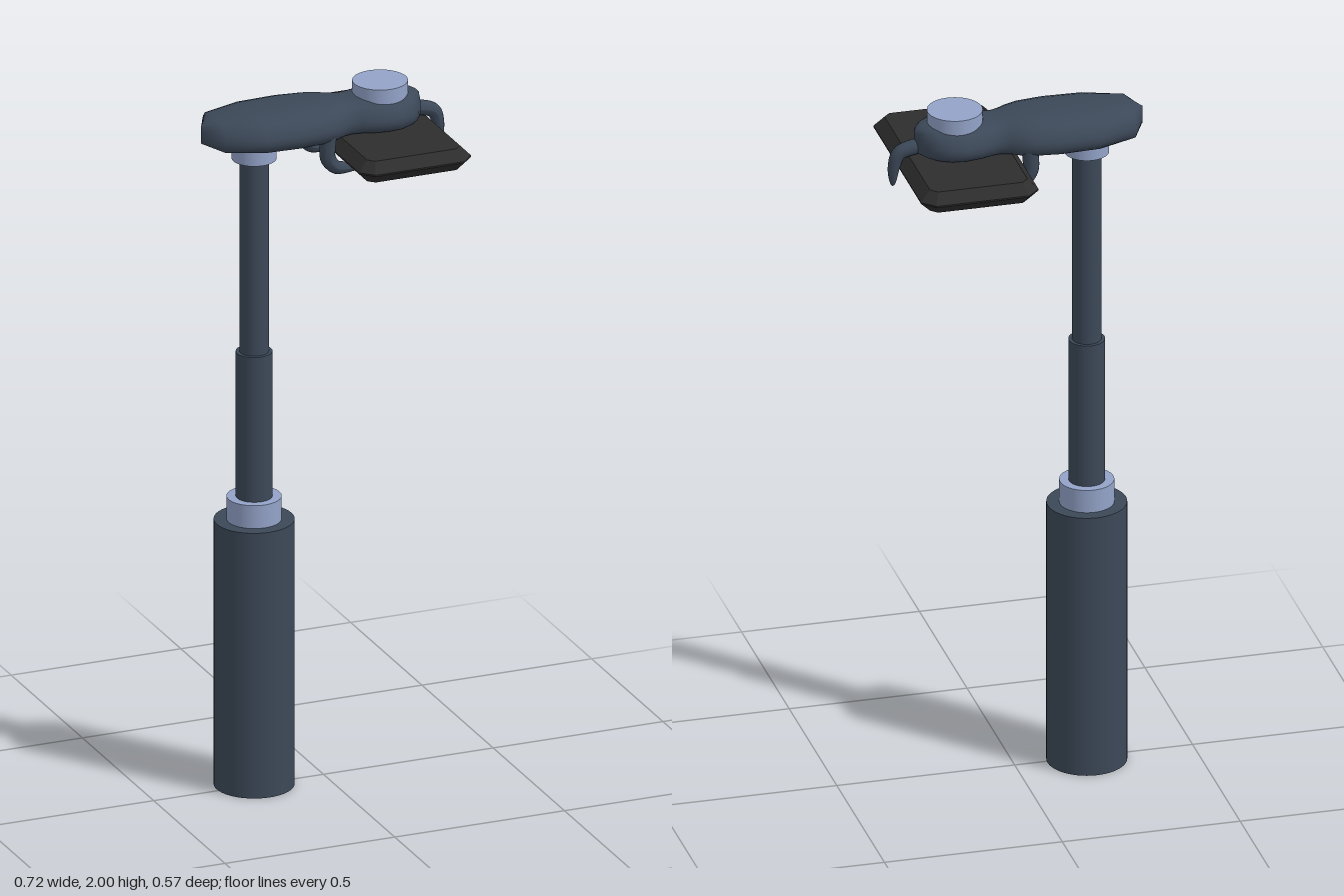
import * as THREE from 'three';

const CZ = -0.01; // depth of the centre line
const mat = (color) => new THREE.MeshStandardMaterial({ color });
const body = mat(0x3c4858);
const accent = mat(0x93a3c8);
const dark = mat(0x2d2d2d);
dark.flatShading = true;

function add(group, name, geometry, material) {
  const mesh = new THREE.Mesh(geometry, material);
  mesh.name = name;
  group.add(mesh);
  return mesh;
}

// Upright cylinder between two heights
function post(group, name, x, radius, y0, y1, material) {
  add(group, name, new THREE.CylinderGeometry(radius, radius, y1 - y0, 48), material)
    .position.set(x, (y0 + y1) / 2, CZ);
}

// Tube along points [x, y] that narrows to a tip
function taperedHook(points, z, radius) {
  const curve = new THREE.CatmullRomCurve3(points.map(([x, y]) => new THREE.Vector3(x, y, z)));
  const steps = 28, sides = 14;
  const geo = new THREE.TubeGeometry(curve, steps, radius, sides);
  const pos = geo.attributes.position, v = new THREE.Vector3();
  for (let i = 0; i <= steps; i++) {
    const t = i / steps, c = curve.getPointAt(t);
    const k = Math.sqrt(Math.max(0, 1 - t ** 2.2));
    for (let j = 0; j <= sides; j++) {
      const n = i * (sides + 1) + j;
      v.fromBufferAttribute(pos, n).sub(c).multiplyScalar(k).add(c);
      pos.setXYZ(n, v.x, v.y, v.z);
    }
  }
  geo.computeVertexNormals();
  return geo;
}

// Head: domed cross-sections strung along x
function headGeometry() {
  // x, half width, bottom, top
  const sections = [
    [-0.357, 0, 1.895, 1.945], [-0.317, 0.088, 1.886, 1.968], [-0.21, 0.126, 1.88, 1.974],
    [-0.1, 0.128, 1.878, 1.976], [-0.025, 0.118, 1.878, 1.975], [0.01, 0.103, 1.878, 1.973],
    [0.035, 0.088, 1.88, 1.97], [0.06, 0.08, 1.88, 1.968], [0.085, 0.085, 1.88, 1.968],
    [0.115, 0.098, 1.88, 1.968], [0.16, 0.107, 1.88, 1.968], [0.2, 0.102, 1.88, 1.968],
    [0.235, 0.085, 1.882, 1.968], [0.26, 0.06, 1.884, 1.965], [0.277, 0.033, 1.888, 1.957],
    [0.285, 0, 1.892, 1.948],
  ];
  // One side of a section, top to bottom: width share, height share
  const half = [[0, 1], [0.3, 0.99], [0.55, 0.95], [0.76, 0.85], [0.91, 0.67], [0.98, 0.48],
    [1, 0.33], [0.96, 0.16], [0.85, 0.04], [0.6, 0], [0, 0]];
  const ring = [...half, ...half.slice(1, -1).reverse().map(([u, v]) => [-u, v])];
  const n = ring.length, positions = [], index = [];
  sections.forEach(([x, w, b, t], i) => {
    ring.forEach(([u, v], j) => {
      positions.push(x, b + (t - b) * v, CZ + u * w);
      if (i === sections.length - 1) return;
      const a = i * n + j, c = i * n + (j + 1) % n;
      index.push(a, c, a + n, c, c + n, a + n);
    });
  });
  const geo = new THREE.BufferGeometry();
  geo.setAttribute('position', new THREE.Float32BufferAttribute(positions, 3));
  geo.setIndex(index);
  geo.computeVertexNormals();
  return geo;
}

// Slab with clipped corners and a bevelled rim
function phoneGeometry() {
  const bevel = 0.028, hx = 0.165 - bevel, hz = 0.285 - bevel, c = 0.018;
  const shape = new THREE.Shape([
    [hx - c, -hz], [hx, -hz + c], [hx, hz - c], [hx - c, hz],
    [-hx + c, hz], [-hx, hz - c], [-hx, -hz + c], [-hx + c, -hz],
  ].map(([x, y]) => new THREE.Vector2(x, y)));
  const geo = new THREE.ExtrudeGeometry(shape, {
    depth: 0.004, bevelEnabled: true, bevelThickness: 0.029, bevelSize: bevel, bevelSegments: 1,
  });
  return geo.translate(0, 0, -0.002).rotateX(-Math.PI / 2);
}

export function createModel() {
  const model = new THREE.Group();
  model.name = 'telescopicPhoneHolder';

  // Handle and telescopic pole
  post(model, 'handle', -0.2, 0.11, 0, 0.775, body);
  post(model, 'lowerCollar', -0.2, 0.075, 0.77, 0.842, accent);
  post(model, 'lowerPole', -0.2, 0.05, 0.84, 1.265, body);
  post(model, 'upperPole', -0.2, 0.04, 1.26, 1.85, body);
  post(model, 'upperCollar', -0.2, 0.061, 1.828, 1.895, accent);

  // Head and its button
  add(model, 'head', headGeometry(), body);
  post(model, 'button', 0.171, 0.076, 1.94, 2, accent);

  // Hooks gripping the phone
  add(model, 'frontHook', taperedHook(
    [[0.25, 1.905], [0.295, 1.9], [0.328, 1.887], [0.342, 1.85], [0.346, 1.79]], CZ, 0.022), body);
  for (const side of [-1, 1]) {
    add(model, side > 0 ? 'leftRearHook' : 'rightRearHook', taperedHook(
      [[-0.015, 1.91], [-0.02, 1.865], [-0.018, 1.83], [0.004, 1.803], [0.04, 1.797], [0.083, 1.796]],
      CZ + side * 0.086, 0.023), body);
  }

  // Phone
  add(model, 'phone', phoneGeometry(), dark).position.set(0.165, 1.848, 0);
  return model;
}
